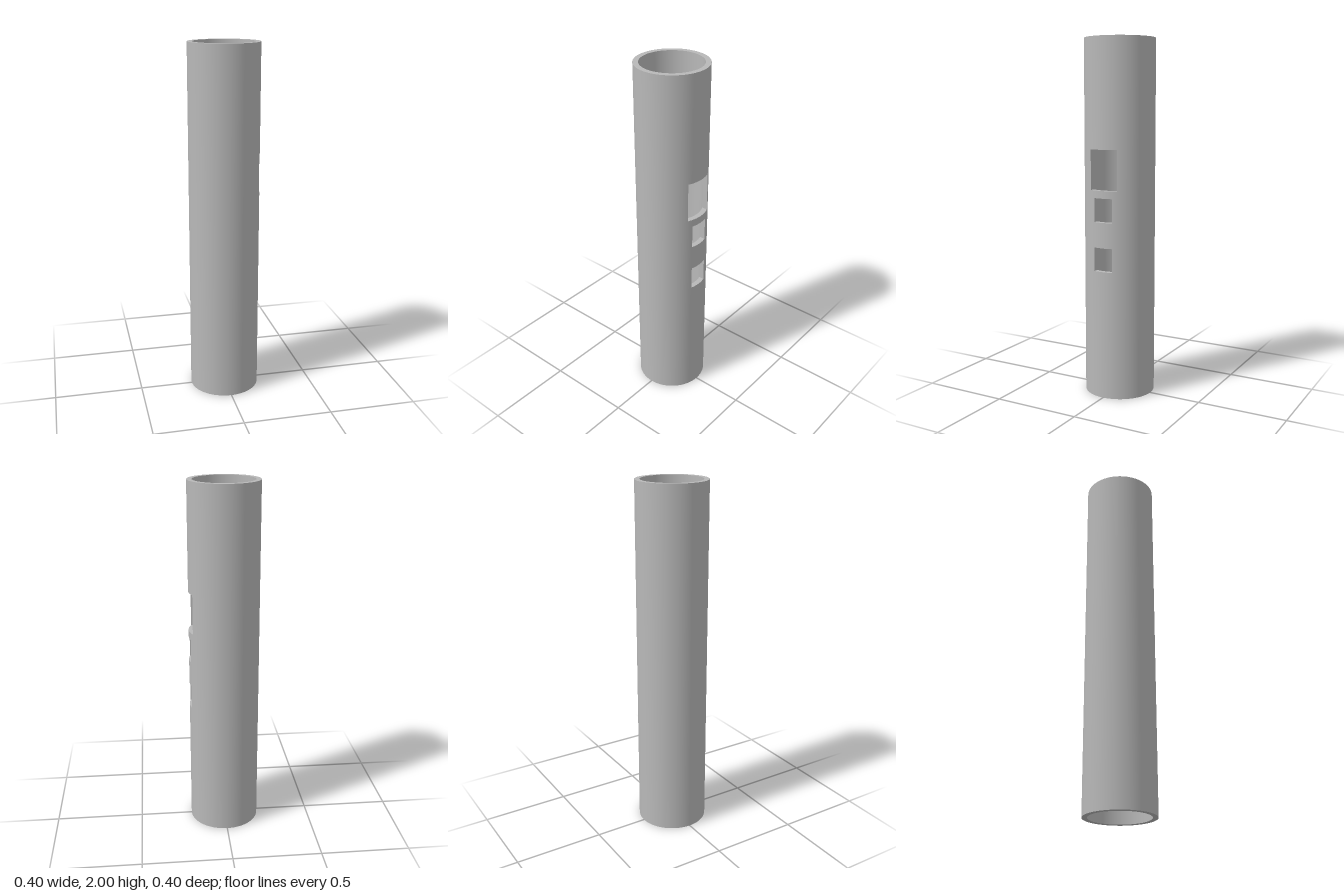
import * as THREE from 'three';

const OUTER = 0.198, INNER = 0.169, STEP = 0.0138;
// Rows up the tube; each window row is cut `half` columns either side of +x
const ROWS = [
  { y0: 0, y1: 0.725, half: 0 },
  { y0: 0.725, y1: 0.858, half: 4 },
  { y0: 0.858, y1: 1.0, half: 0 },
  { y0: 1.0, y1: 1.133, half: 4 },
  { y0: 1.133, y1: 1.175, half: 0 },
  { y0: 1.175, y1: 1.398, half: 6 },
  { y0: 1.398, y1: 2, half: 0 },
];
const CUT = 6, REST = 84;

// Column angles: even z steps across the windows, even angles round the rest
function columnAngles(radius) {
  const angles = [];
  for (let i = -CUT; i <= CUT; i++) angles.push(Math.asin(i * STEP / radius));
  const start = angles[angles.length - 1], sweep = 2 * Math.PI - 2 * start;
  for (let i = 1; i <= REST; i++) angles.push(start + sweep * i / REST);
  return angles;
}

// Collects quads, winding each to agree with its normals
function quadBuilder() {
  const positions = [], normals = [];
  return {
    add(corners, cornerNormals) {
      const [a, b, c] = corners;
      const face = b.clone().sub(a).cross(c.clone().sub(a));
      const order = face.dot(cornerNormals[0]) > 0 ? [0, 1, 2, 0, 2, 3] : [0, 2, 1, 0, 3, 2];
      for (const i of order) {
        positions.push(...corners[i].toArray());
        normals.push(...cornerNormals[i].toArray());
      }
    },
    geometry() {
      const g = new THREE.BufferGeometry();
      g.setAttribute('position', new THREE.Float32BufferAttribute(positions, 3));
      g.setAttribute('normal', new THREE.Float32BufferAttribute(normals, 3));
      return g;
    },
  };
}

export function createModel() {
  const group = new THREE.Group();
  const grey = new THREE.MeshStandardMaterial({ color: 0xb8b8b8 });
  grey.name = 'grey';

  const outer = columnAngles(OUTER), inner = columnAngles(INNER);
  const point = (r, a, y) => new THREE.Vector3(r * Math.cos(a), y, r * Math.sin(a));
  const flat = (x, y, z) => Array(4).fill(new THREE.Vector3(x, y, z));
  const outsideWall = quadBuilder(), insideWall = quadBuilder();
  const rims = quadBuilder(), reveals = quadBuilder();

  // Horizontal slice of wall thickness in one column
  const ledge = (builder, c, y, up) => builder.add([
    point(OUTER, outer[c], y), point(OUTER, outer[c + 1], y),
    point(INNER, inner[c + 1], y), point(INNER, inner[c], y),
  ], flat(0, up, 0));

  for (let c = 0; c < outer.length - 1; c++) {
    for (const { y0, y1, half } of ROWS) {
      if (c >= CUT - half && c < CUT + half) {
        // Sill and head of the opening
        ledge(reveals, c, y0, 1);
        ledge(reveals, c, y1, -1);
        continue;
      }
      for (const [wall, r, angles, sign] of [[outsideWall, OUTER, outer, 1], [insideWall, INNER, inner, -1]]) {
        const a = angles[c], b = angles[c + 1];
        const na = point(sign, a, 0), nb = point(sign, b, 0);
        wall.add([point(r, a, y0), point(r, b, y0), point(r, b, y1), point(r, a, y1)], [na, nb, nb, na]);
      }
    }
    ledge(rims, c, 0, -1);
    ledge(rims, c, 2, 1);
  }

  // Upright sides of each opening
  for (const { y0, y1, half } of ROWS.filter((row) => row.half)) {
    for (const side of [-1, 1]) {
      const c = CUT + side * half;
      reveals.add([
        point(OUTER, outer[c], y0), point(INNER, inner[c], y0),
        point(INNER, inner[c], y1), point(OUTER, outer[c], y1),
      ], flat(0, 0, -side));
    }
  }

  for (const [name, builder] of Object.entries({ outsideWall, insideWall, rims, windowReveals: reveals })) {
    const mesh = new THREE.Mesh(builder.geometry(), grey);
    mesh.name = name;
    group.add(mesh);
  }
  return group;
}
